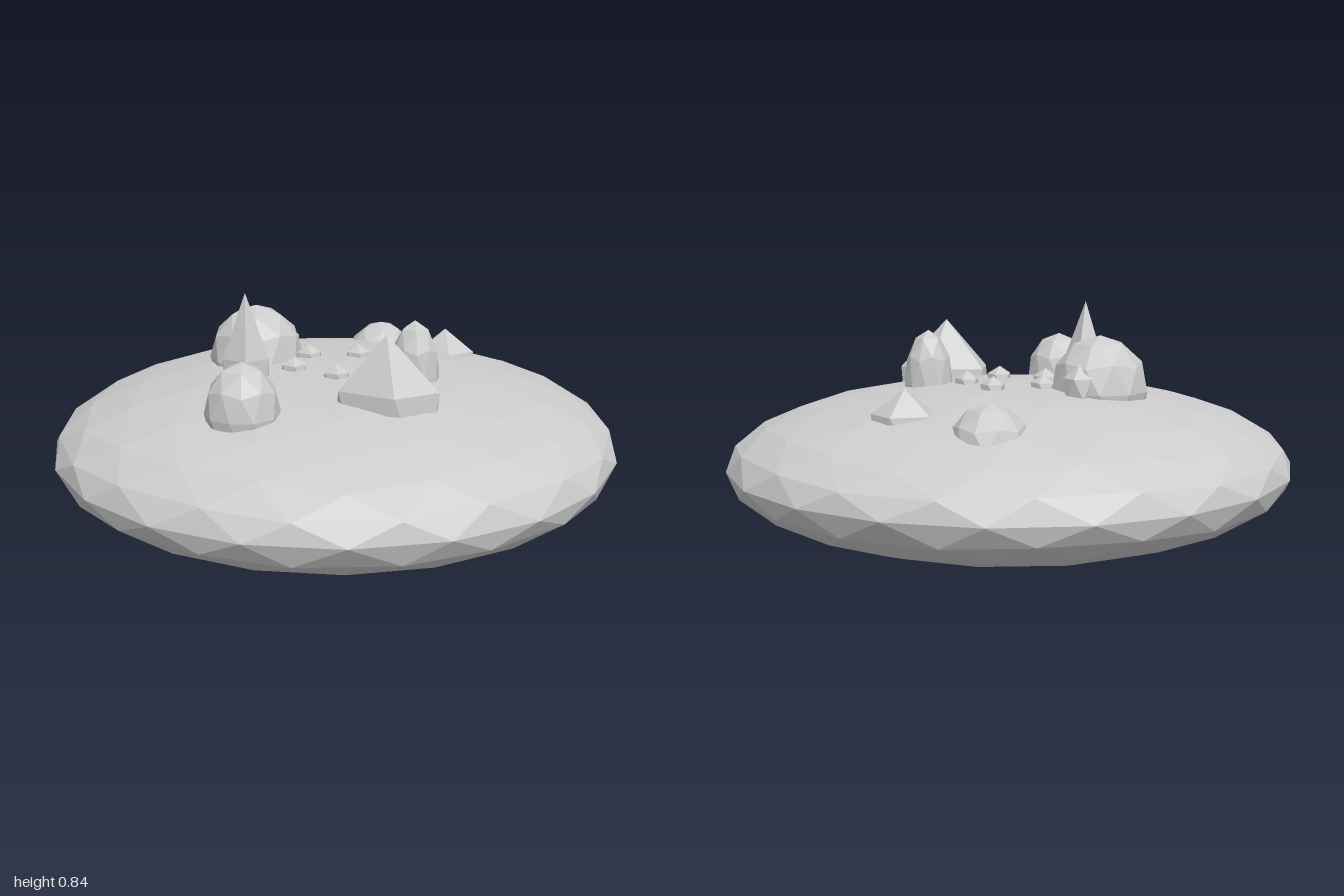
import * as THREE from 'three';

const stone = new THREE.MeshStandardMaterial({ color: 0xcccccc, flatShading: true });
stone.name = 'stone grey';

// Faceted sphere with a corner pointing straight up; each level splits every triangle in four
function icosphere(levels) {
  const base = new THREE.IcosahedronGeometry(1, 0);
  base.rotateZ(-Math.atan(2 / (1 + Math.sqrt(5))));
  const p = base.getAttribute('position');
  let points = [];
  for (let i = 0; i < p.count; i++) points.push(new THREE.Vector3().fromBufferAttribute(p, i));
  const middle = (a, b) => a.clone().add(b).normalize();
  for (let level = 0; level < levels; level++) {
    const next = [];
    for (let i = 0; i < points.length; i += 3) {
      const [a, b, c] = points.slice(i, i + 3);
      const ab = middle(a, b), bc = middle(b, c), ca = middle(c, a);
      next.push(a, ab, ca, ab, b, bc, ca, bc, c, ab, bc, ca);
    }
    points = next;
  }
  return new THREE.BufferGeometry().setFromPoints(points);
}

function addBlob(group, name, levels, [x, y, z], [rx, ry, rz]) {
  const geometry = icosphere(levels).scale(rx, ry, rz);
  geometry.computeVertexNormals();
  const mesh = new THREE.Mesh(geometry, stone);
  mesh.name = name;
  mesh.position.set(x, y, z);
  group.add(mesh);
}

export function createModel() {
  const group = new THREE.Group();
  group.name = 'rockyIsland';

  // Flattened ground body
  addBlob(group, 'island', 2, [0, 0.284, 0], [1, 0.282, 1]);

  // Rounded boulders
  addBlob(group, 'largeBoulder', 1, [-0.32, 0.55, -0.075], [0.172, 0.19, 0.172]);
  addBlob(group, 'frontBoulder', 1, [-0.16, 0.52, 0.52], [0.125, 0.17, 0.122]);
  addBlob(group, 'tallBoulder', 1, [0.295, 0.55, 0.03], [0.088, 0.195, 0.083]);
  addBlob(group, 'backBoulder', 1, [0.02, 0.44, -0.6], [0.13, 0.14, 0.147]);

  // Pointed rocks
  addBlob(group, 'spire', 0, [-0.267, 0.43, 0.185], [0.093, 0.41, 0.09]);
  addBlob(group, 'largePeak', 0, [0.263, 0.43, 0.313], [0.198, 0.33, 0.135]);
  addBlob(group, 'backPeak', 0, [0.307, 0.45, -0.465], [0.124, 0.152, 0.1]);
  addBlob(group, 'sidePeak', 0, [-0.25, 0.57, -0.2], [0.06, 0.08, 0.062]);

  // Ring of pebbles around the middle
  for (let i = 0; i < 5; i++) {
    const a = (i * Math.PI * 2) / 5;
    addBlob(group, 'pebble', 0, [0.153 * Math.cos(a), 0.553, 0.153 * Math.sin(a)], [0.05, 0.05, 0.05]);
  }
  return group;
}
